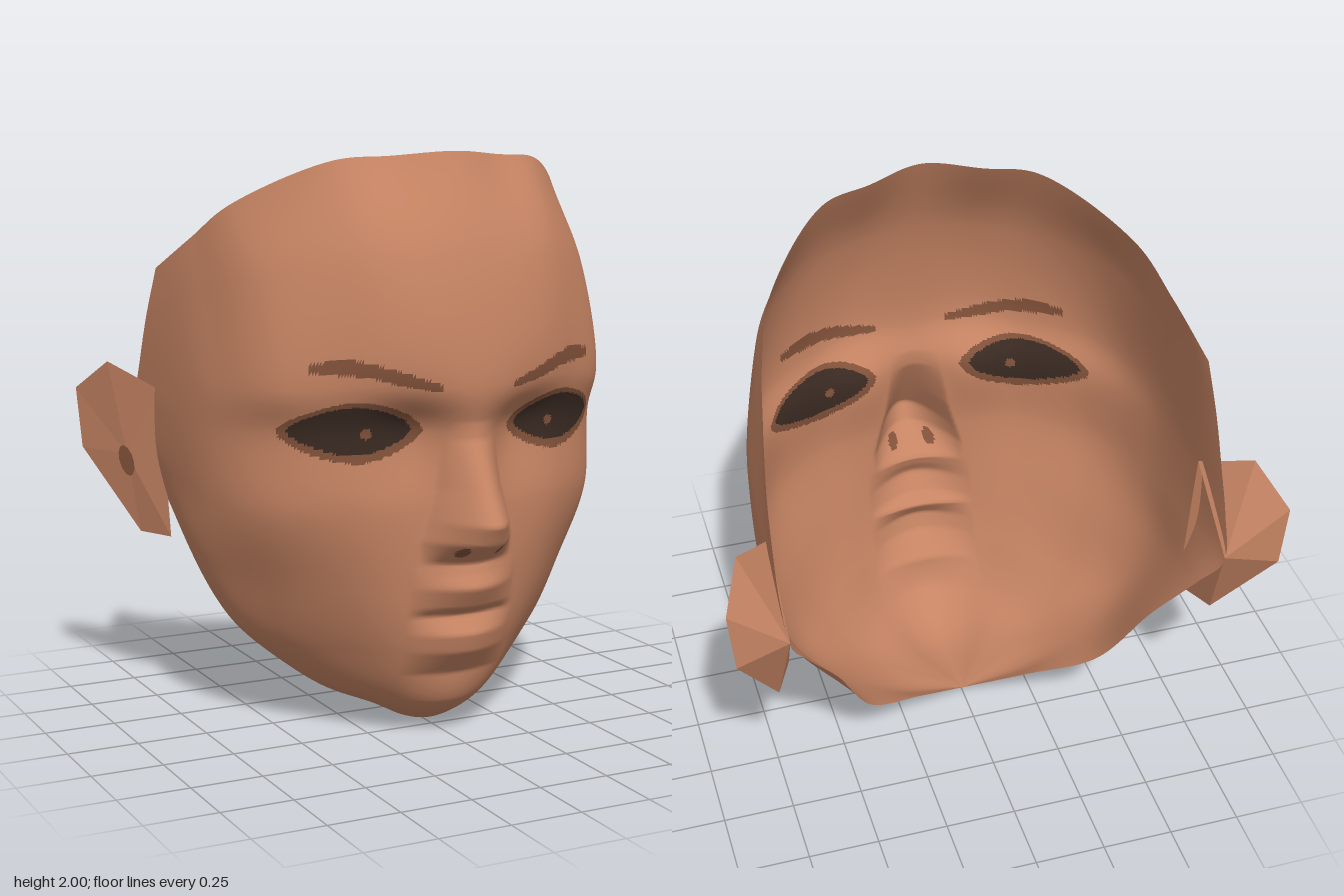
import * as THREE from 'three';

const flat = (name, color) => {
  const m = new THREE.MeshStandardMaterial({ color, side: THREE.DoubleSide });
  m.name = name;
  return m;
};

// Profiles running from the top rim down to the chin, from the centre out to the edge
const centre = [[0, 2, .4], [0, 1.66, .54], [0, 1.24, .6], [0, 1.08, .56], [0, .8, .53],
  [0, .56, .53], [0, .33, .48], [0, .12, .39], [0, .005, .2], [0, .02, -.11]];
const innerEye = [[.2, 1.985, .335], [.21, 1.66, .51], [.24, 1.25, .55], [.19, 1.09, .47], [.2, .82, .49],
  [.2, .56, .47], [.17, .32, .43], [.12, .12, .35], [.08, .02, .18], [0, .02, -.11]];
const midEye = [[.38, 1.97, .27], [.39, 1.65, .43], [.42, 1.25, .46], [.38, 1.09, .43], [.4, .82, .43],
  [.38, .55, .37], [.33, .32, .3], [.24, .13, .23], [.15, .05, .1], [0, .02, -.11]];
const cheek = [[.63, 1.82, -.01], [.62, 1.6, .2], [.62, 1.23, .31], [.59, 1.08, .29], [.61, .8, .26],
  [.57, .54, .16], [.49, .31, .1], [.35, .14, .05], [.2, .07, 0], [0, .02, -.11]];
const temple = [[.7, 1.7, -.2], [.715, 1.52, -.1], [.73, 1.22, .04], [.73, 1.06, .03], [.725, .82, 0],
  [.71, .6, -.12], [.61, .37, -.12], [.44, .22, -.15], [.24, .1, -.14], [0, .02, -.11]];
const edge = [[.75, 1.58, -.42], [.765, 1.4, -.49], [.77, 1.22, -.56], [.77, 1.08, -.62], [.755, .93, -.68],
  [.69, .8, -.62], [.57, .6, -.52], [.42, .3, -.385], [.21, .16, -.25], [0, .02, -.11]];

const curve = pts => new THREE.CatmullRomCurve3(pts);
const profiles = [centre, innerEye, midEye, cheek, temple, edge]
  .map(p => curve(p.map(q => new THREE.Vector3(...q))));

// Piecewise-linear lookup in a list of [position, value], position falling
function lookup(list, y) {
  if (y >= list[0][0]) return list[0][1];
  for (let i = 1; i < list.length; i++) {
    const [y0, a] = list[i - 1], [y1, b] = list[i];
    if (y >= y1) return a + (b - a) * (y0 - y) / (y0 - y1);
  }
  return list[list.length - 1][1];
}
const noseHeight = [[1.12, 0], [1.06, .015], [.79, .19], [.72, .155], [.64, .01], [.6, 0]];
const noseWidth = [[1.1, .09], [.9, .12], [.72, .17]];
const lipHeight = [[.64, 0], [.555, .05], [.48, .015], [.45, -.03], [.385, .03], [.32, .03], [.23, -.025], [.12, 0]];
const bump = (x, w) => (Math.abs(x) < w ? Math.cos(Math.PI / 2 * x / w) : 0);

function relief(p) {
  if (p.z < .25) return;
  p.z += lookup(noseHeight, p.y) * bump(p.x, lookup(noseWidth, p.y))
    + lookup(lipHeight, p.y) * bump(p.x, .2);
}

// Paint regions: 0 skin, 1 brown lids, brows and nostrils, 2 dark eye
const almond = (x, y, a, b) => Math.abs(x / a) ** 1.6 + Math.abs(y / b) ** 1.6 < 1;
const browLine = [[.53, 1.305], [.42, 1.312], [.35, 1.3], [.25, 1.27], [.14, 1.24]];
const browHalf = [[.53, .013], [.44, .027], [.25, .022], [.14, .012]];
function paint(x, y, z) {
  x = Math.abs(x);
  if (z < .15) return 0;
  if (Math.hypot(x - .345, y - 1.085) < .018) return 1;
  if (almond(x - .385, y - 1.095, .19, .082)) return 2;
  if (almond(x - .38, y - 1.09, .22, .105)) return 1;
  if (x > .135 && x < .53 && Math.abs(y - lookup(browLine, x)) < lookup(browHalf, x)) return 1;
  return Math.hypot((x - .07) / .02, (y - .69) / .022) < 1 ? 1 : 0;
}

function faceGeometry() {
  const cols = 240, rows = 216, pos = [];
  for (let v = 0; v <= rows; v++) {
    const half = profiles.map(c => c.getPoint(v / rows));
    const mirrored = half.slice(1).reverse().map(p => new THREE.Vector3(-p.x, p.y, p.z));
    const section = curve([...mirrored, ...half]);
    for (let u = 0; u <= cols; u++) {
      const p = section.getPoint(u / cols);
      relief(p);
      pos.push(p.x, p.y, p.z);
    }
  }
  const parts = [[], [], []];
  const add = (...t) => {
    const mid = k => t.reduce((s, i) => s + pos[i * 3 + k], 0) / 3;
    parts[paint(mid(0), mid(1), mid(2))].push(...t);
  };
  for (let v = 0; v < rows; v++) for (let u = 0; u < cols; u++) {
    const a = v * (cols + 1) + u, b = a + cols + 1;
    add(a, b, a + 1);
    add(b, b + 1, a + 1);
  }
  const g = new THREE.BufferGeometry();
  g.setAttribute('position', new THREE.Float32BufferAttribute(pos, 3));
  g.setIndex(parts.flat());
  let start = 0;
  parts.forEach((p, i) => { g.addGroup(start, p.length, i); start += p.length; });
  g.computeVertexNormals();
  return g;
}

// Triangle fan around a hub point, mirrored by side
function fan(hub, ring, side) {
  const pos = [];
  for (let i = 0; i < ring.length - 1; i++) {
    const tri = side > 0 ? [hub, ring[i + 1], ring[i]] : [hub, ring[i], ring[i + 1]];
    for (const [x, y, z] of tri) pos.push(x * side, y, z);
  }
  const g = new THREE.BufferGeometry();
  g.setAttribute('position', new THREE.Float32BufferAttribute(pos, 3));
  g.computeVertexNormals();
  return g;
}

export function createModel() {
  const skin = flat('skin', 0xc68463);
  const brown = flat('brown', 0x82523a);
  const dark = flat('dark eye', 0x3a2a22);
  const model = new THREE.Group();
  model.name = 'faceMask';
  const add = (parent, name, geometry, material) => {
    const m = new THREE.Mesh(geometry, material);
    m.name = name;
    parent.add(m);
  };
  add(model, 'face', faceGeometry(), [skin, brown, dark]);

  // Ears: an outer sheet and a back sheet that meet in a thin wedge
  const rootTop = [.755, 1.15, -.4], rootLow = [.715, .61, -.41];
  const rim = [[.89, 1.24, -.56], [.96, 1.13, -.715], [.94, .91, -.715], [.78, .61, -.55]];
  const hub = [.83, .9, -.54];
  for (const side of [1, -1]) {
    const ear = new THREE.Group();
    ear.name = side > 0 ? 'leftEar' : 'rightEar';
    add(ear, 'earFront', fan(hub, [rootTop, ...rim, rootLow, rootTop], side), skin);
    add(ear, 'earBack', fan([.755, .94, -.68], [rootLow, ...rim.slice().reverse(), rootTop], side), skin);
    // Ear hollow, lying just off the outer sheet
    const spot = [];
    for (let i = 0; i <= 12; i++) {
      const a = i / 12 * Math.PI * 2, dz = Math.cos(a) * .03 - Math.sin(a) * .012;
      spot.push([.838 - dz * .58, .88 + Math.sin(a) * .055, -.525 + dz]);
    }
    add(ear, 'earHollow', fan([.838, .88, -.525], spot, side), brown);
    model.add(ear);
  }
  return model;
}
